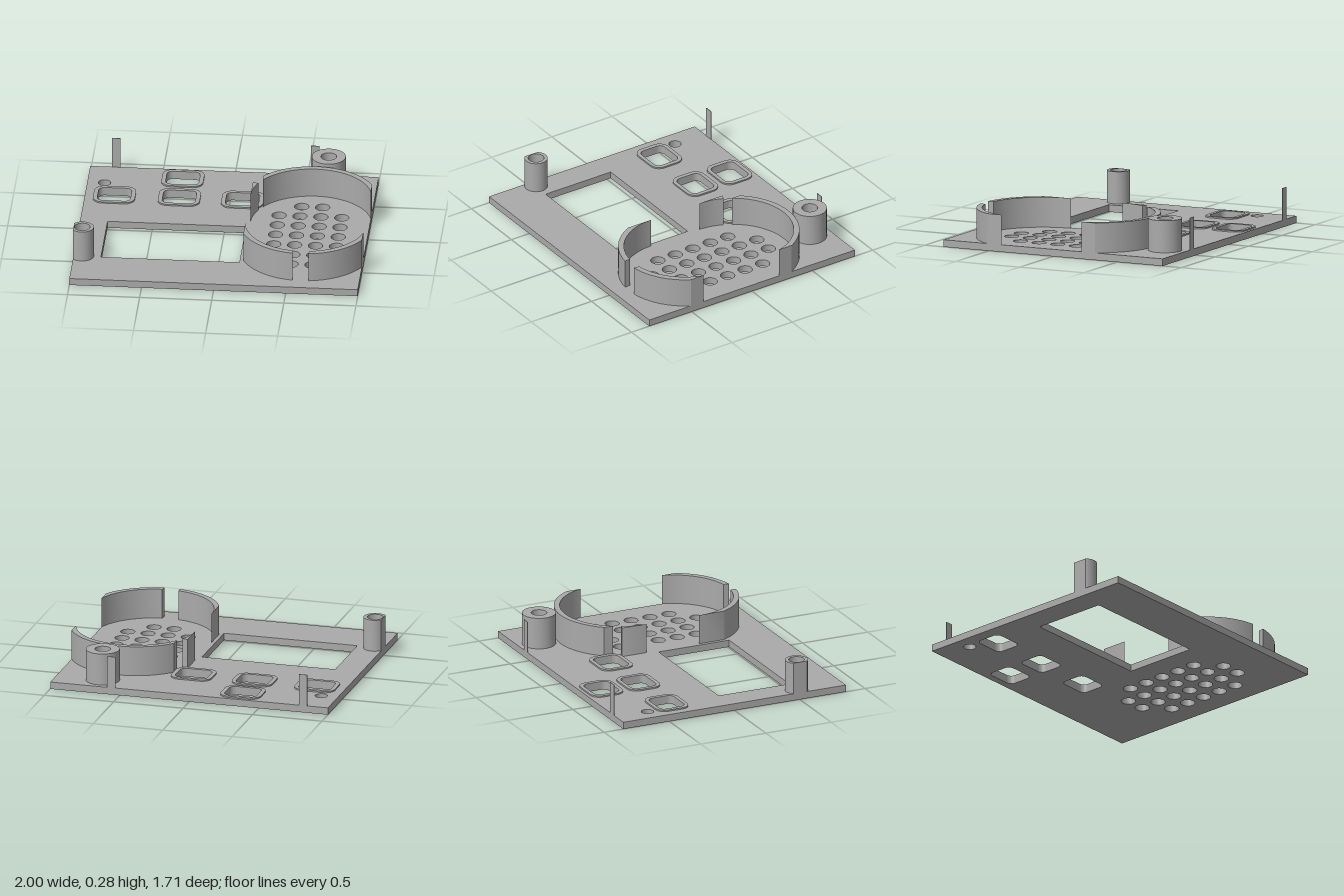
import * as THREE from 'three';
import { toCreasedNormals } from 'three/addons/utils/BufferGeometryUtils.js';

const PLATE = 0.05, HALF_Z = 0.853;

// Path builders, drawn in plan: shape x = world x, shape y = world z
function roundRect(path, cx, cz, w, h, r) {
  const x = w / 2 - r, z = h / 2 - r;
  path.absarc(cx + x, cz + z, r, 0, Math.PI / 2);
  path.absarc(cx - x, cz + z, r, Math.PI / 2, Math.PI);
  path.absarc(cx - x, cz - z, r, Math.PI, Math.PI * 1.5);
  path.absarc(cx + x, cz - z, r, Math.PI * 1.5, Math.PI * 2);
  path.closePath();
  return path;
}
const circle = (path, cx, cz, r) => path.absarc(cx, cz, r, 0, Math.PI * 2);
function rect(path, x0, z0, x1, z1) {
  return path.setFromPoints([[x0, z0], [x1, z0], [x1, z1], [x0, z1], [x0, z0]].map(p => new THREE.Vector2(...p)));
}

// Points on an arc between two x positions, bulging towards side (+1 or -1) in z
function arcPoints(cx, cz, r, side, xa, xb) {
  const a = Math.acos(Math.max(-1, (xa - cx) / r)), b = Math.acos(Math.max(-1, (xb - cx) / r));
  const n = Math.max(1, Math.ceil(Math.abs(a - b) * 20));
  return Array.from({ length: n + 1 }, (_, i) => {
    const t = a + (b - a) * i / n;
    return new THREE.Vector2(cx + r * Math.cos(t), cz + side * r * Math.sin(t));
  });
}

export function createModel() {
  const group = new THREE.Group();
  const grey = new THREE.MeshStandardMaterial({ color: 0xaaaaaa });
  grey.name = 'grey plastic';

  // Extrude a plan shape upwards from y0 to y1
  function slab(name, shape, y0, y1) {
    let geo = new THREE.ExtrudeGeometry(shape, { depth: y1 - y0, bevelEnabled: false, curveSegments: 16 });
    geo.rotateX(Math.PI / 2).translate(0, y1, 0);
    geo = toCreasedNormals(geo, 0.5);
    const mesh = new THREE.Mesh(geo, grey);
    mesh.name = name;
    group.add(mesh);
  }

  // Base plate with its openings
  const plate = rect(new THREE.Shape(), -1, -HALF_Z, 1, HALF_Z);
  plate.holes.push(rect(new THREE.Path(), -0.81, -0.03, 0.15, 0.51));
  plate.holes.push(circle(new THREE.Path(), -0.88, -0.61, 0.043));

  // Button openings with raised rims
  for (const [x, z] of [[-0.345, -0.707], [-0.795, -0.423], [-0.345, -0.423], [0.093, -0.423]]) {
    const opening = roundRect(new THREE.Path(), x, z, 0.23, 0.19, 0.04);
    plate.holes.push(opening);
    const rim = roundRect(new THREE.Shape(), x, z, 0.29, 0.245, 0.07);
    rim.holes.push(opening);
    slab('buttonRim', rim, PLATE, 0.06);
  }

  // Speaker grille holes
  for (let row = 0; row < 7; row++) {
    for (let col = 0; col < 4; col++) {
      if ((row === 0 || row === 6) && (col === 0 || col === 3)) continue;
      plate.holes.push(circle(new THREE.Path(), 0.363 + col * 0.145, -0.366 + row * 0.145, 0.05));
    }
  }
  slab('basePlate', plate, 0, PLATE);

  // Curved speaker walls, trimmed at both sides
  const walls = [
    // centre z, side, outer x range, inner x range
    [-0.11, -1, [0.241, 1], [0.241, 1]],
    [-0.11, -1, [0.175, 0.176], [0.175, 0.214]],
    [0.29, 1, [0.175, 0.54], [0.175, 0.535]],
    [0.29, 1, [0.648, 1], [0.653, 1]],
  ];
  for (const [cz, side, outer, inner] of walls) {
    const points = [
      ...arcPoints(0.595, cz, 0.46, side, outer[0], outer[1]),
      ...arcPoints(0.595, cz, 0.42, side, inner[1], inner[0]),
    ];
    slab('speakerWall', new THREE.Shape(points), PLATE, 0.26);
  }

  // Screw posts: a full one, and one cut flat at the plate edge
  const post = circle(new THREE.Shape(), 0.667, -0.7, 0.118);
  post.holes.push(circle(new THREE.Path(), 0.667, -0.7, 0.055));
  slab('screwPost', post, PLATE, 0.275);

  const cut = Math.acos(-0.06 / 0.08);
  const edgePost = new THREE.Shape().absarc(-0.94, 0.503, 0.08, -cut, cut);
  edgePost.closePath();
  edgePost.holes.push(circle(new THREE.Path(), -0.94, 0.503, 0.055));
  slab('edgeScrewPost', edgePost, PLATE, 0.275);

  // Thin upright tabs on the back edge
  for (const x of [-0.82, 0.56]) {
    slab('backTab', rect(new THREE.Shape(), x - 0.03, -HALF_Z, x + 0.03, -HALF_Z + 0.004), PLATE, 0.275);
  }

  return group;
}
